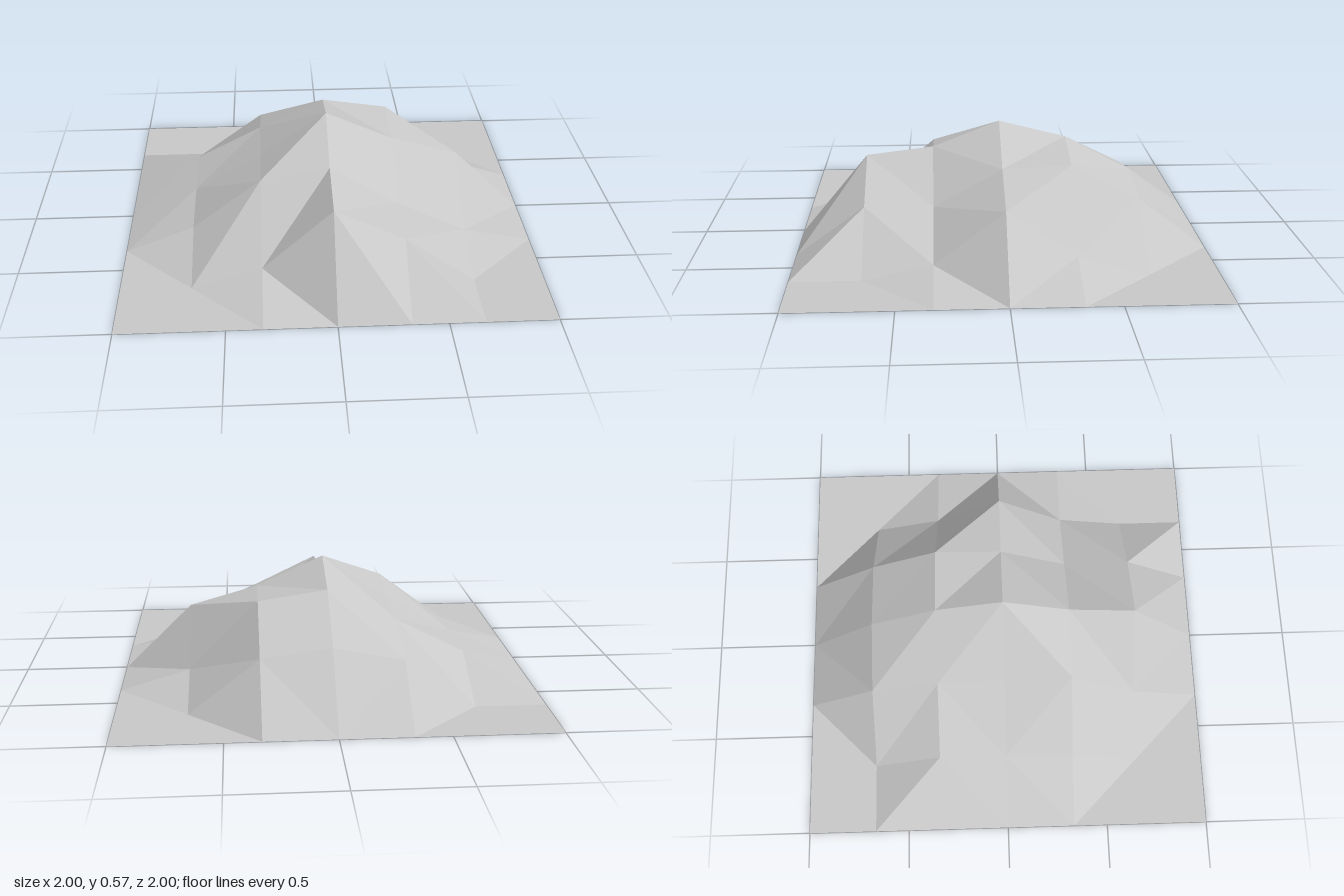
import * as THREE from 'three';

// Heights on a 7 x 7 grid, rows run from back to front, columns from -x to +x.
const HEIGHTS = [
  [0, 0, 0, 0, 0, 0, 0],
  [0, 0, 0.24, 0.305, 0.26, 0, 0],
  [0, 0.16, 0.33, 0.485, 0.435, 0.10, 0],
  [0, 0.155, 0.345, 0.57, 0.42, 0.325, 0],
  [0, 0.13, 0.38, 0.44, 0.235, 0.07, 0],
  [0, 0, 0.10, 0.40, 0.24, 0, 0],
  [0, 0, 0, 0, 0, 0, 0],
];

// Fold of each cell seen from above: B runs back-left to front-right, F the other way.
const FOLDS = ['FFFBBB', 'BBBBBB', 'FFBBBB', 'FBFFFF', 'BFFFFF', 'BBBBBF'];

export function createModel() {
  const group = new THREE.Group();
  group.name = 'mountain';

  const rock = new THREE.MeshStandardMaterial({ color: 0xc8c8c8 });
  rock.name = 'rockGrey';
  rock.side = THREE.DoubleSide;
  rock.flatShading = true;

  const cells = FOLDS.length;
  const positions = [];
  const corner = (row, col) => [-1 + (2 * col) / cells, HEIGHTS[row][col], -1 + (2 * row) / cells];

  // Two upward-facing triangles per cell, split along its fold
  for (let row = 0; row < cells; row++) {
    for (let col = 0; col < cells; col++) {
      const a = corner(row, col);
      const b = corner(row + 1, col);
      const c = corner(row + 1, col + 1);
      const d = corner(row, col + 1);
      const triangles = FOLDS[row][col] === 'B' ? [a, b, c, a, c, d] : [a, b, d, b, c, d];
      positions.push(...triangles.flat());
    }
  }

  const geometry = new THREE.BufferGeometry();
  geometry.setAttribute('position', new THREE.Float32BufferAttribute(positions, 3));
  geometry.computeVertexNormals();

  const terrain = new THREE.Mesh(geometry, rock);
  terrain.name = 'terrainSurface';
  group.add(terrain);
  return group;
}
